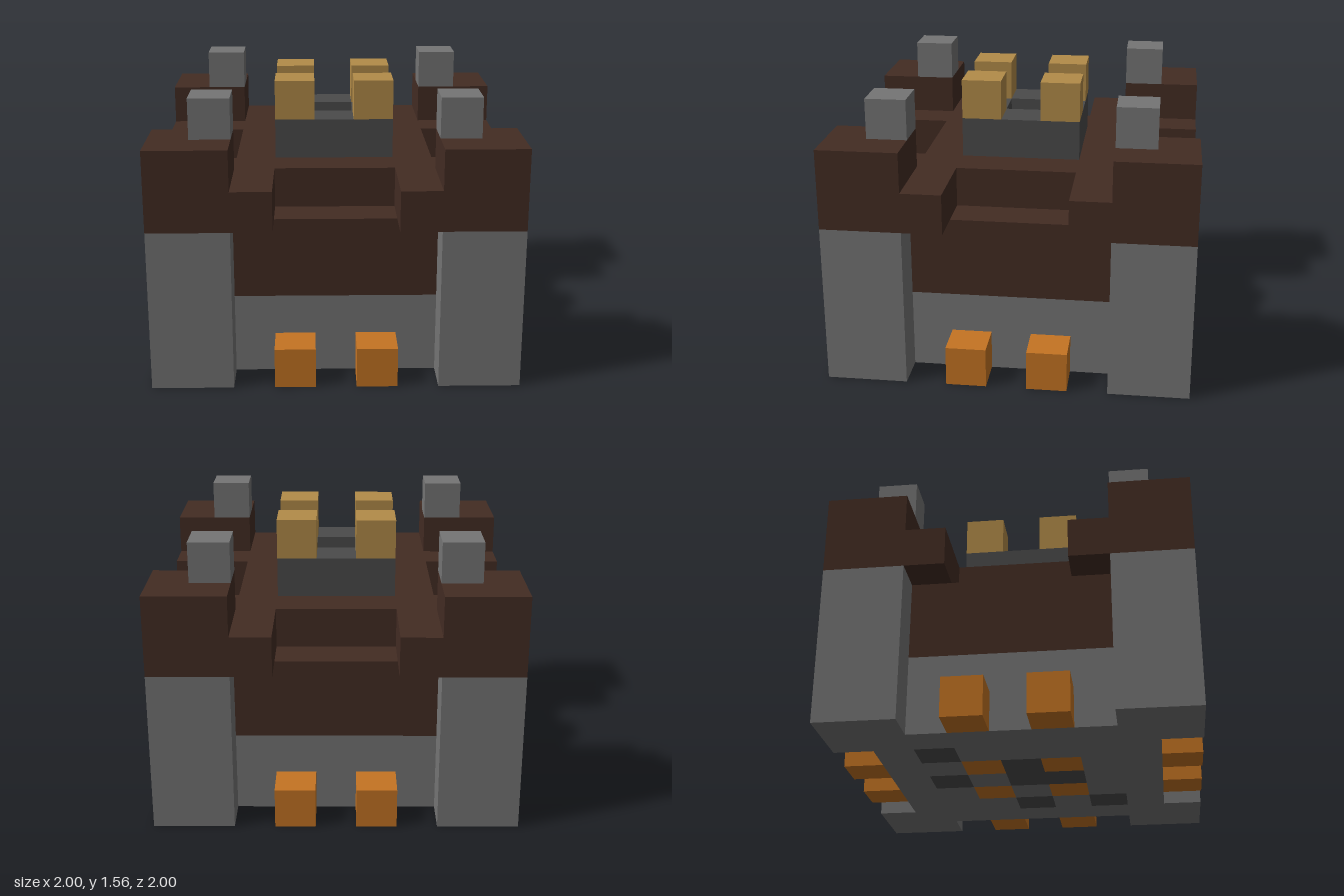
import * as THREE from 'three';

const U = 2 / 9; // one block

const mat = (name, color) => {
  const m = new THREE.MeshStandardMaterial({ color });
  m.name = name;
  return m;
};

export function createModel() {
  const stone = mat('stone grey', 0x757575);
  const timber = mat('dark brown', 0x432c23);
  const slate = mat('dark grey', 0x4b4b4b);
  const lantern = mat('orange', 0xc57423);
  const tan = mat('tan', 0xb38c49);

  const model = new THREE.Group();
  model.name = 'keep';

  // Box from block coordinates: centre x, z, bottom y, then size
  const block = (parent, name, material, x, y, z, w, h, d) => {
    const mesh = new THREE.Mesh(new THREE.BoxGeometry(w * U, h * U, d * U), material);
    mesh.position.set(x * U, (y + h / 2) * U, z * U);
    mesh.name = name;
    parent.add(mesh);
    return mesh;
  };

  // Cross-shaped walls: stone below, timber above
  const t = 0.02; // floor tile thickness
  block(model, 'stoneWallsFrontBack', stone, 0, t, 0, 5, 2 - t, 7);
  block(model, 'timberWallsFrontBack', timber, 0, 2, 0, 5, 2, 7);
  for (const s of [-1, 1]) {
    block(model, 'stoneWallSide', stone, s * 3, t, 0, 1, 2 - t, 5);
    block(model, 'timberWallSide', timber, s * 3, 2, 0, 1, 2, 5);
  }
  block(model, 'roof', timber, 0, 4, 0, 5, 1, 5);

  // Corner towers with caps, side brackets and a finial
  for (const sx of [-1, 1]) {
    for (const sz of [-1, 1]) {
      const tower = new THREE.Group();
      tower.name = 'cornerTower';
      model.add(tower);
      block(tower, 'towerShaft', stone, sx * 3.5, 0, sz * 3.5, 2, 4, 2);
      block(tower, 'towerCap', timber, sx * 3.5, 4, sz * 3.5, 2, 2, 2);
      block(tower, 'bracketX', timber, sx * 2, 4, sz * 3.5, 1, 1, 2);
      block(tower, 'bracketZ', timber, sx * 3.5, 4, sz * 2, 2, 1, 1);
      block(tower, 'finial', stone, sx * 3, 6, sz * 3, 1, 1, 1);
      // Ground lanterns next to the walls
      block(model, 'lanternFrontBack', lantern, sx, 0, sz * 4, 1, 1, 1);
      block(model, 'lanternSide', lantern, sx * 4, 0, sz, 1, 1, 1);
      // Central turret battlements and the floor tiles below them
      block(model, 'battlement', tan, sx, 6, sz, 1, 1, 1);
      block(model, 'orangeFloorTile', lantern, sx, 0, sz, 1, t, 1);
    }
  }

  // Central platform, a ring around a shallow well
  for (const s of [-1, 1]) {
    block(model, 'platformEdge', slate, 0, 5, s, 3, 1, 1);
    block(model, 'platformSide', slate, s, 5, 0, 1, 1, 1);
  }
  block(model, 'wellFloor', slate, 0, 5, 0, 1, t, 1);

  // Underside: stone floor strips between the inlaid tiles
  const dark = [[-2, -2], [0, -2], [2, 0], [2, 2], [0, 0], [0, 1], [-1, 0]];
  for (let x = -3; x <= 3; x++) {
    for (let z = -3; z <= 3; z++) {
      if (Math.abs(x) === 3 && Math.abs(z) === 3) continue;
      if (Math.abs(x) === 1 && Math.abs(z) === 1) continue;
      const isDark = dark.some(([a, b]) => a === x && b === z);
      block(model, isDark ? 'darkFloorTile' : 'stoneFloorTile', isDark ? slate : stone, x, 0, z, 1, t, 1);
    }
  }

  return model;
}
